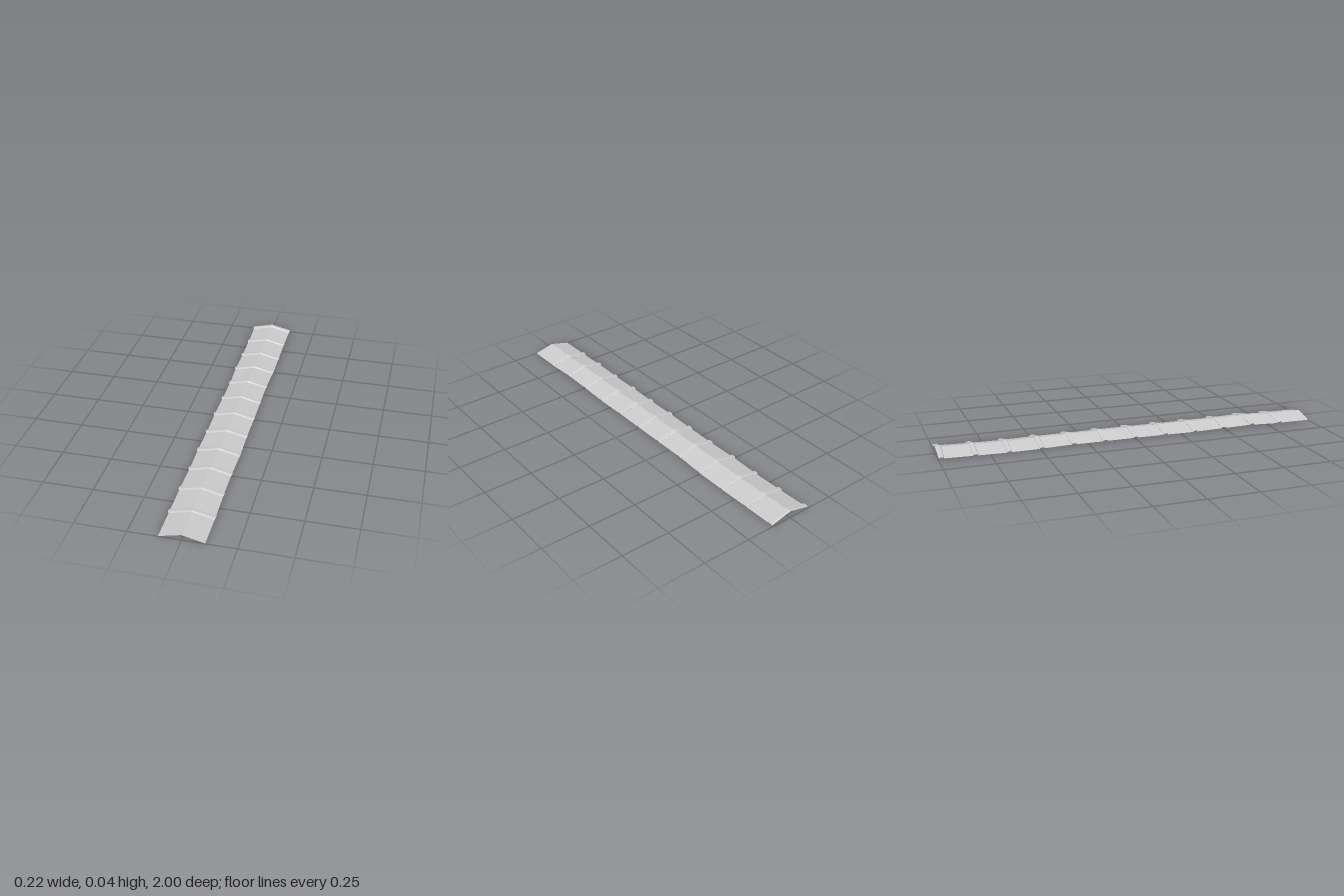
import * as THREE from 'three';

const PITCH = 0.1645, DROP = 0.026, LIP = 0.007;
// ridge height and half width at each seam, from back to front
const ridge = [0.033, 0.029, 0.026, 0.028, 0.03, 0.03, 0.031, 0.03, 0.029, 0.031, 0.034, 0.028, 0.028];
const half = [0.108, 0.106, 0.106, 0.108, 0.102, 0.103, 0.105, 0.104, 0.107, 0.104, 0.105, 0.107, 0.107];

// Sheet through cross-sections of three points: left eave, ridge, right eave
function bentSheet(rows) {
  const pos = [], index = [];
  for (const { z, y, w } of rows) pos.push(-w, y - DROP, z, 0, y, z, w, y - DROP, z);
  for (let r = 0; r < rows.length - 1; r++) {
    for (let c = 0; c < 2; c++) {
      const a = r * 3 + c, b = a + 3;
      index.push(a, b, a + 1, a + 1, b, b + 1);
    }
  }
  const geo = new THREE.BufferGeometry();
  geo.setAttribute('position', new THREE.Float32BufferAttribute(pos, 3));
  geo.setIndex(index);
  const flat = geo.toNonIndexed();
  flat.computeVertexNormals();
  return flat;
}

export function createModel() {
  const group = new THREE.Group();
  group.name = 'ridgeCapping';
  const material = new THREE.MeshStandardMaterial({
    color: 0xcccccc, flatShading: true, side: THREE.DoubleSide,
  });

  for (let i = 0; i < 12; i++) {
    const z0 = -1 + i * PITCH;
    const z1 = i === 11 ? 1 : z0 + PITCH;
    const row = (z, lift, flare) => {
      const t = (z - z0) / (z1 - z0);
      return {
        z,
        y: THREE.MathUtils.lerp(ridge[i], ridge[i + 1], t) + lift,
        w: THREE.MathUtils.lerp(half[i], half[i + 1], t) + flare,
      };
    };

    // raised overlap band at the back of each tile
    const lip = new THREE.Mesh(bentSheet([
      row(z0, i ? 0 : 0.003, 0.002),
      row(z0 + 0.005, LIP * 0.85, 0.004),
      row(z0 + 0.012, LIP, 0.004),
      row(z0 + 0.024, LIP, 0.004),
      row(z0 + 0.028, 0, 0),
    ]), material);
    lip.name = 'tileLip' + (i + 1);

    // plain bent tile body
    const body = new THREE.Mesh(bentSheet([row(z0 + 0.028, 0, 0), row(z1, 0, 0)]), material);
    body.name = 'ridgeTile' + (i + 1);
    group.add(lip, body);
  }
  return group;
}
